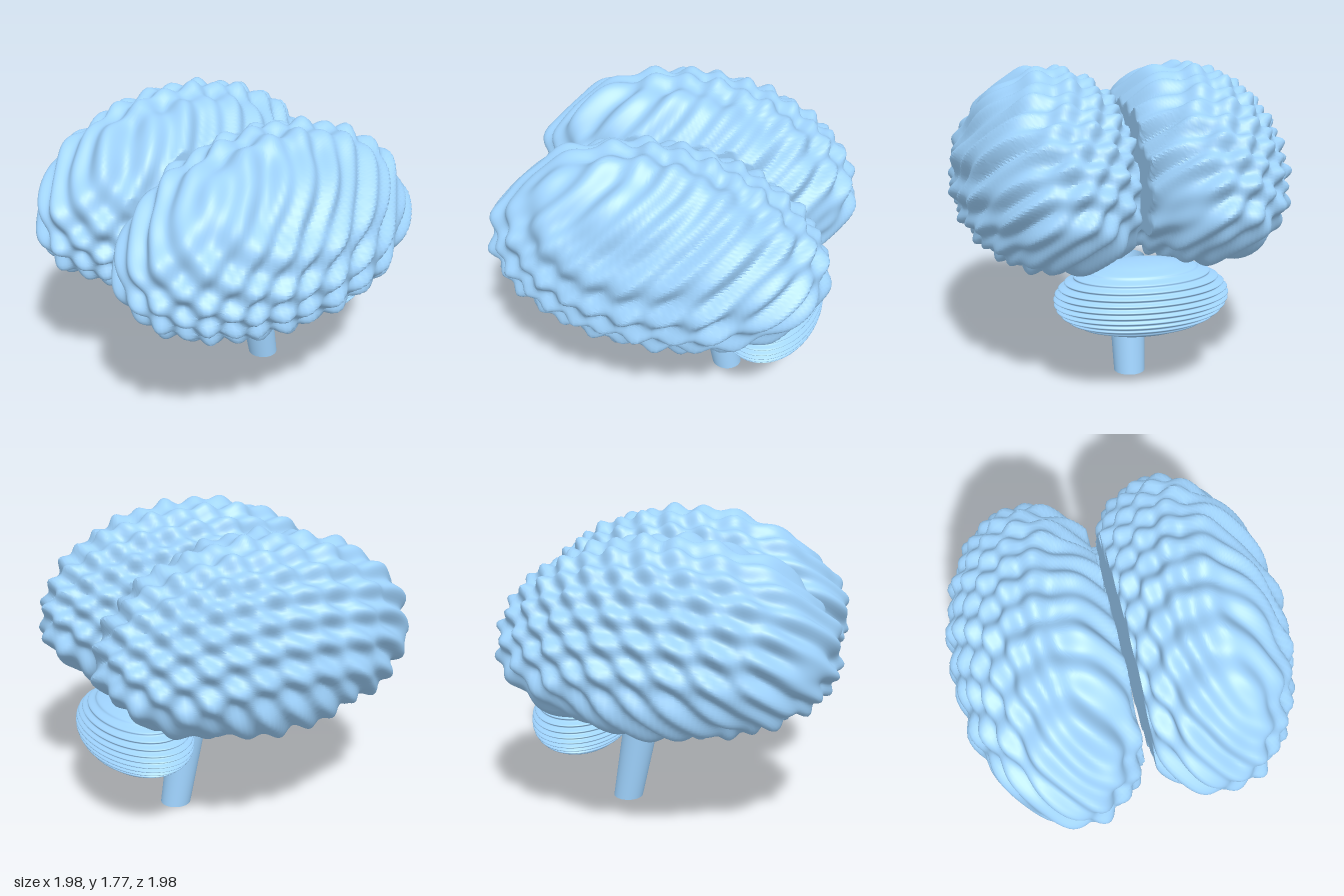
import * as THREE from 'three';
import { mergeVertices, toCreasedNormals } from 'three/addons/utils/BufferGeometryUtils.js';

const material = new THREE.MeshStandardMaterial({ color: 0xa0d4ff, side: THREE.DoubleSide });

function addMesh(group, geometry, name) {
  const mesh = new THREE.Mesh(geometry, material);
  mesh.name = name;
  group.add(mesh);
  return mesh;
}

// Height of the cortical folds: two crossing diagonal waves and a broad upright one
function folds(x, y, z) {
  return 0.019 * Math.cos(34 * (x + y - 2.2) + 0.4 * Math.sin(5 * z))
    + 0.019 * Math.cos(34 * (y + z - 0.86) + 0.4 * Math.sin(5 * x))
    + 0.009 * Math.cos(20 * (z - x));
}

// Folded ellipsoid, flatter and fuller below, cut by a flat face at the middle
function hemisphere(side) {
  let g = new THREE.SphereGeometry(1, 170, 120);
  g.deleteAttribute('uv');
  g.deleteAttribute('normal');
  g = mergeVertices(g, 1e-5);
  const p = g.attributes.position;
  const v = new THREE.Vector3(), n = new THREE.Vector3();
  for (let i = 0; i < p.count; i++) {
    v.fromBufferAttribute(p, i);
    const ry = v.y > 0 ? 0.63 : 0.465;
    n.set(v.x / 0.54, v.y / ry, v.z / 0.955).normalize();
    const h = v.y > 0 ? v.y : -Math.pow(-v.y, 0.93);
    v.set(side * 0.41 + v.x * 0.54, 1.1 + h * ry, v.z * 0.955);
    v.addScaledVector(n, folds(v.x, v.y, v.z));
    v.x = side * Math.max(0.03, side * v.x);
    p.setXYZ(i, v.x, v.y, v.z);
  }
  return toCreasedNormals(g, 0.9);
}

// Flattened lathe with fine horizontal ridges
function cerebellum() {
  const points = [];
  const steps = 200;
  for (let i = 0; i <= steps; i++) {
    const a = -Math.PI / 2 + (Math.PI * i) / steps;
    const y = Math.sin(a);
    const r = Math.pow(Math.max(0, Math.cos(a)), 0.9) * (1 + 0.03 * Math.sin(40 * y));
    points.push(new THREE.Vector2(r, y));
  }
  return new THREE.LatheGeometry(points, 72).scale(0.485, 0.21, 0.295);
}

// Tapered open tube leaning forward, with level ends
function stem() {
  const height = 0.67;
  const g = new THREE.CylinderGeometry(0.115, 0.09, height, 40, 1, true);
  g.translate(0, height / 2, 0);
  const p = g.attributes.position;
  for (let i = 0; i < p.count; i++) p.setZ(i, p.getZ(i) - 0.33 + 0.18 * p.getY(i));
  return toCreasedNormals(g, 0.7);
}

export function createModel() {
  const group = new THREE.Group();
  group.name = 'brain';
  addMesh(group, hemisphere(1), 'leftHemisphere');
  addMesh(group, hemisphere(-1), 'rightHemisphere');
  addMesh(group, cerebellum(), 'cerebellum').position.set(0, 0.55, -0.595);
  addMesh(group, stem(), 'brainStem');
  return group;
}
